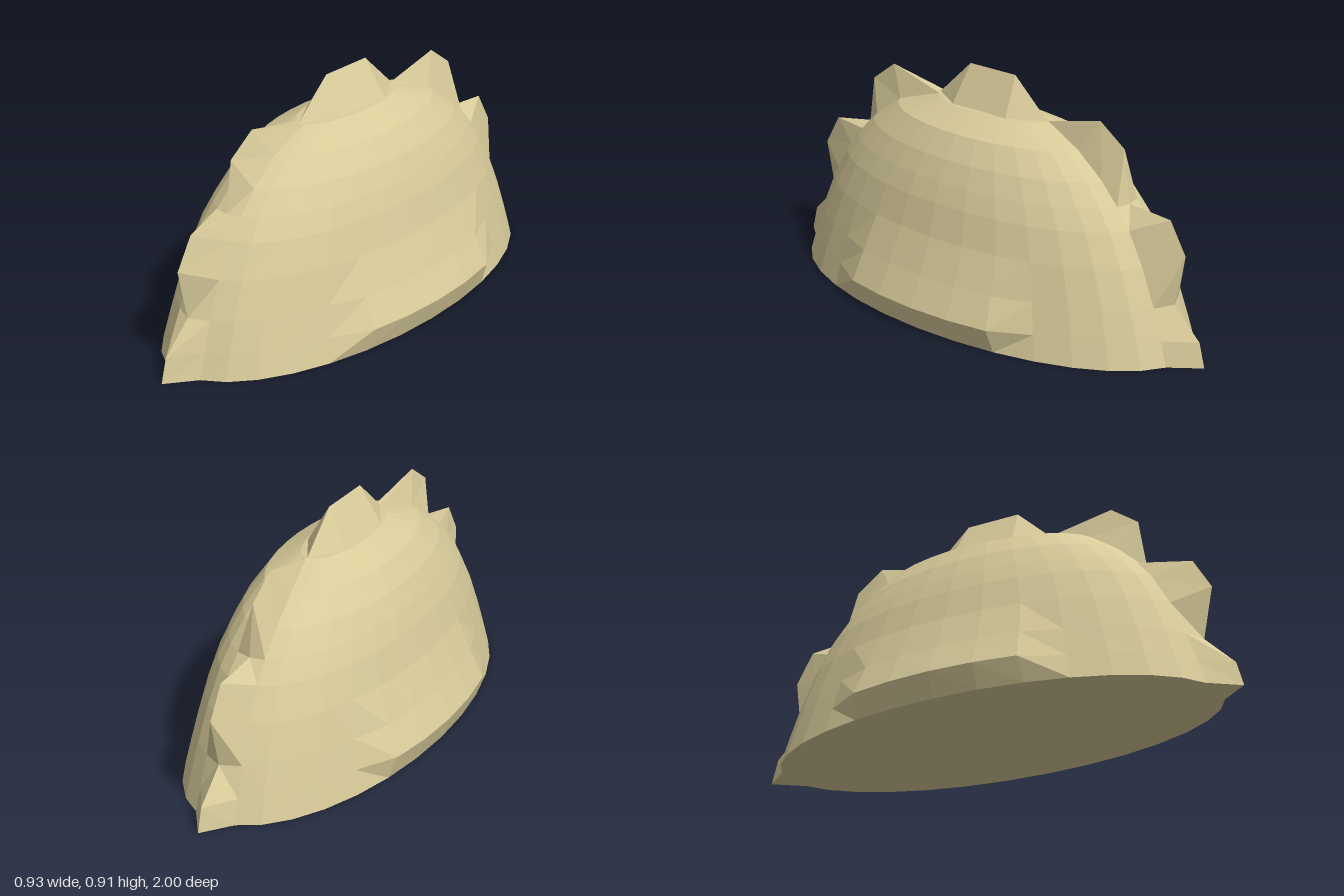
import * as THREE from 'three';
import { ConvexGeometry } from 'three/addons/geometries/ConvexGeometry.js';

const SEGMENTS = 32;

// Each ring: height, half width, half length, half width at the flank, then crest point [z, y]
const RINGS = [
  [0.0, 0.43, 0.91, 0.43, 1.0, 0.0],
  [0.093, 0.41, 0.88, 0.463, 0.975, 0.093],
  [0.207, 0.385, 0.84, 0.41, 0.86, 0.207],
  [0.345, 0.355, 0.78, 0.355, 0.9, 0.405],
  [0.467, 0.322, 0.71, 0.322, 0.83, 0.525],
  [0.54, 0.295, 0.65, 0.295, 0.65, 0.54],
  [0.62, 0.26, 0.57, 0.26, 0.62, 0.74],
  [0.705, 0.205, 0.45, 0.205, 0.51, 0.82],
  [0.762, 0.1, 0.26, 0.1, 0.27, 0.764],
];

// Point k of a ring; the front and back points are pulled out into the toothed crest
function ringPoint([y, halfWidth, halfLength, flank, crestZ, crestY], k) {
  const turn = k % SEGMENTS;
  if (turn % (SEGMENTS / 2) === 0) {
    return [0, crestY, turn === 0 ? crestZ : -crestZ];
  }
  const angle = (turn / SEGMENTS) * Math.PI * 2;
  const s = Math.sin(angle);
  return [(Math.abs(s) > 0.9 ? flank : halfWidth) * s, y, halfLength * Math.cos(angle)];
}

function geometryFrom(corners) {
  const geometry = new THREE.BufferGeometry();
  geometry.setAttribute('position', new THREE.Float32BufferAttribute(corners.flat(), 3));
  geometry.computeVertexNormals();
  return geometry;
}

// Rows of facets closed by a shallow cap
function shellGeometry() {
  const corners = [];
  for (let k = 0; k < SEGMENTS; k++) {
    for (let i = 0; i < RINGS.length - 1; i++) {
      const a = ringPoint(RINGS[i], k);
      const b = ringPoint(RINGS[i], k + 1);
      const c = ringPoint(RINGS[i + 1], k + 1);
      const d = ringPoint(RINGS[i + 1], k);
      // mirror the diagonals so both halves match
      if (k < SEGMENTS / 2) corners.push(a, b, c, a, c, d);
      else corners.push(a, b, d, b, c, d);
    }
    const top = RINGS[RINGS.length - 1];
    corners.push(ringPoint(top, k), ringPoint(top, k + 1), [0, 0.77, 0]);
  }
  return geometryFrom(corners);
}

// Flat underside
function baseGeometry() {
  const corners = [];
  for (let k = 0; k < SEGMENTS; k++) {
    corners.push([0, 0, 0], ringPoint(RINGS[0], k + 1), ringPoint(RINGS[0], k));
  }
  return geometryFrom(corners);
}

// Roof-shaped tooth on the crown
function toothGeometry() {
  const points = [];
  for (const z of [-1, 1]) {
    points.push(new THREE.Vector3(0, 0.762, 0.265 * z), new THREE.Vector3(0, 0.907, 0.11 * z));
    for (const x of [-1, 1]) points.push(new THREE.Vector3(0.08 * x, 0.762, 0.13 * z));
  }
  return new ConvexGeometry(points);
}

export function createModel() {
  const model = new THREE.Group();
  model.name = 'crestedShell';
  const material = new THREE.MeshStandardMaterial({ color: 0xd8cb9a, flatShading: true });
  const add = (name, geometry) => {
    const mesh = new THREE.Mesh(geometry, material);
    mesh.name = name;
    model.add(mesh);
  };
  add('shell', shellGeometry());
  add('underside', baseGeometry());
  add('crownTooth', toothGeometry());
  return model;
}
